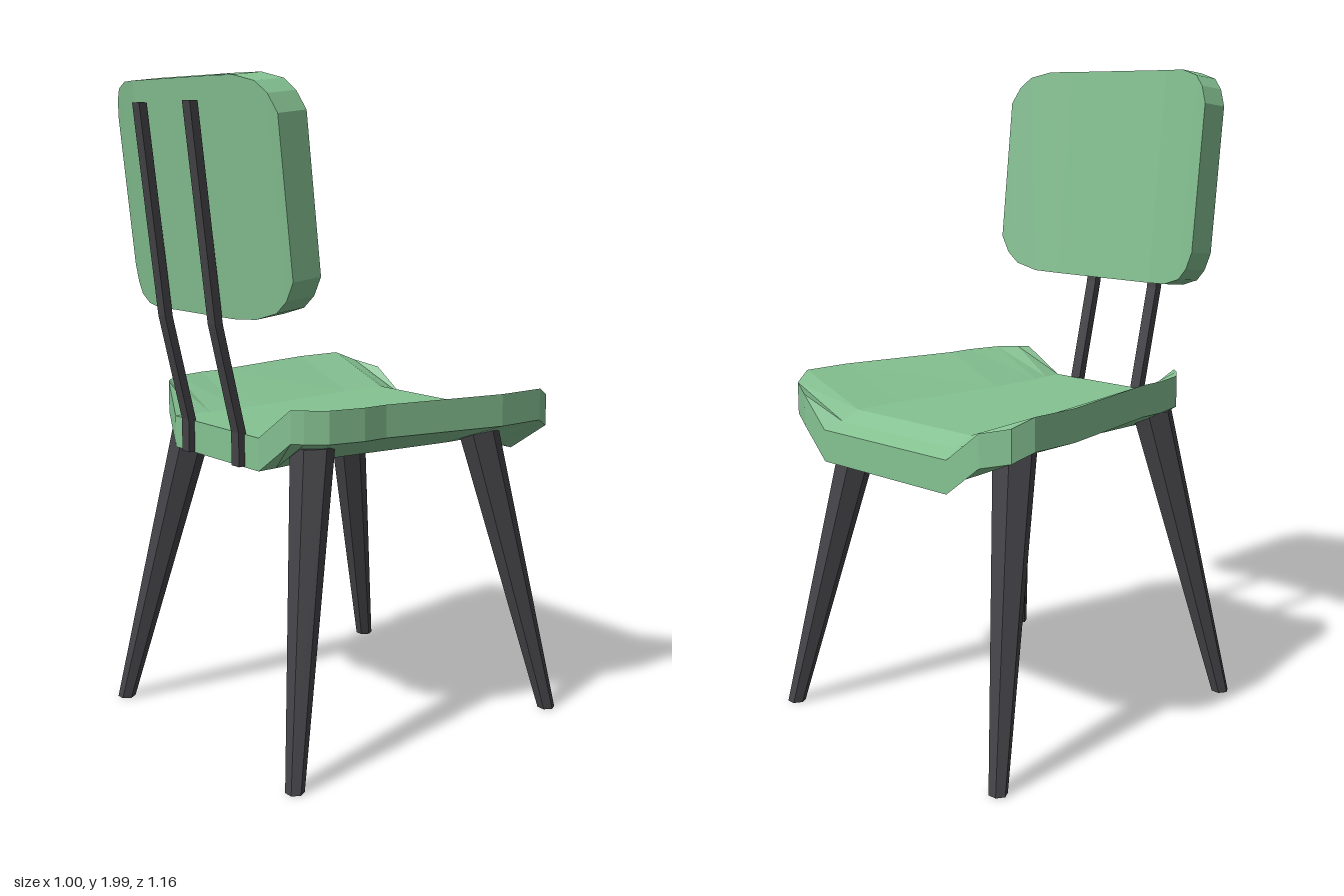
import * as THREE from 'three';

// Flat-shaded loft through equal-sized rings, each counterclockwise about the direction of travel
function loft(rings) {
  const pos = [];
  const quad = (a, b, c, d) => pos.push(...a, ...b, ...c, ...a, ...c, ...d);
  const n = rings[0].length;
  for (let k = 0; k < rings.length - 1; k++) {
    for (let i = 0; i < n; i++) {
      const j = (i + 1) % n;
      quad(rings[k][i], rings[k][j], rings[k + 1][j], rings[k + 1][i]);
    }
  }
  // End caps as strips of quads
  const first = rings[0], last = rings[rings.length - 1];
  for (let i = 0; i < n / 2 - 1; i++) {
    quad(last[i], last[i + 1], last[n - 2 - i], last[n - 1 - i]);
    quad(first[n - 1 - i], first[n - 2 - i], first[i + 1], first[i]);
  }
  const geo = new THREE.BufferGeometry();
  geo.setAttribute('position', new THREE.Float32BufferAttribute(pos, 3));
  geo.computeVertexNormals();
  return geo;
}

export function createModel() {
  const group = new THREE.Group();
  const green = new THREE.MeshStandardMaterial({ name: 'green shell', color: 0x85c292, flatShading: true });
  const dark = new THREE.MeshStandardMaterial({ name: 'dark frame', color: 0x444347, flatShading: true });
  const add = (name, geo, mat) => {
    const mesh = new THREE.Mesh(geo, mat);
    mesh.name = name;
    group.add(mesh);
    return mesh;
  };

  // Seat: flat centre with raised sides; rows of inner x, inner z, outer x, outer z, drop
  const rows = [
    [0.27, -0.565, 0.385, -0.55, 0.048],
    [0.25, -0.51, 0.47, -0.51, 0.028],
    [0.25, -0.45, 0.5, -0.45, 0],
    [0.25, -0.29, 0.5, -0.29, 0],
    [0.21, 0.1, 0.42, 0.1, 0],
    [0.21, 0.18, 0.42, 0.18, 0],
    [0.21, 0.29, 0.395, 0.29, 0],
    [0.215, 0.345, 0.35, 0.345, 0],
    [0.22, 0.41, 0.32, 0.37, 0],
  ];
  add('seat', loft(rows.map(([xi, zi, xo, zo, drop]) => {
    const low = 0.975 - drop, high = 1.066 - drop, t = 0.098;
    return [
      [xo, high, zo], [xi, low, zi], [-xi, low, zi], [-xo, high, zo],
      [-xo, high - t, zo], [-xi, low - t, zi], [xi, low - t, zi], [xo, high - t, zo],
    ];
  })), green);

  // Backrest: rounded, bent panel; columns of x, half height, bend
  const half = [
    [0.2, 0.334, 0], [0.28, 0.332, -0.02], [0.35, 0.312, -0.04],
    [0.385, 0.278, -0.052], [0.41, 0.225, -0.062],
  ];
  const columns = [...half.map(([x, h, b]) => [-x, h, b]).reverse(), ...half];
  const backrest = add('backrest', loft(columns.map(([x, h, b]) => [
    [x, -h, b - 0.048], [x, h, b - 0.048], [x, h, b + 0.048], [x, -h, b + 0.048],
  ])), green);
  backrest.position.set(0, 1.657, 0.465);
  backrest.rotation.x = 0.108;

  // Bent rods holding the backrest
  const rodPath = [[0.88, 0.418], [0.98, 0.418], [1.3, 0.494], [1.92, 0.568]];
  // Tapered six-sided legs: top x, top y, top z, foot x, foot z
  const legs = {
    back: [0.305, 0.95, 0.28, 0.463, 0.467],
    front: [0.33, 0.93, -0.355, 0.463, -0.557],
  };
  const hexRing = (x, y, z, r) => Array.from({ length: 6 }, (_, i) => {
    const a = (i * Math.PI) / 3;
    return [x + r * Math.cos(a), y, z - r * Math.sin(a)];
  });

  for (const [side, s] of [['left', 1], ['right', -1]]) {
    add(side + 'BackRod', loft(rodPath.map(([y, z]) => {
      const x = s * 0.132, w = 0.019, d = 0.013;
      return [[x + w, y, z + d], [x + w, y, z - d], [x - w, y, z - d], [x - w, y, z + d]];
    })), dark);
    for (const [end, [tx, ty, tz, fx, fz]] of Object.entries(legs)) {
      add(`${side}${end === 'back' ? 'Back' : 'Front'}Leg`, loft([
        hexRing(s * fx, 0, fz, 0.028),
        hexRing(s * tx, ty, tz, 0.066),
      ]), dark);
    }
  }
  return group;
}
